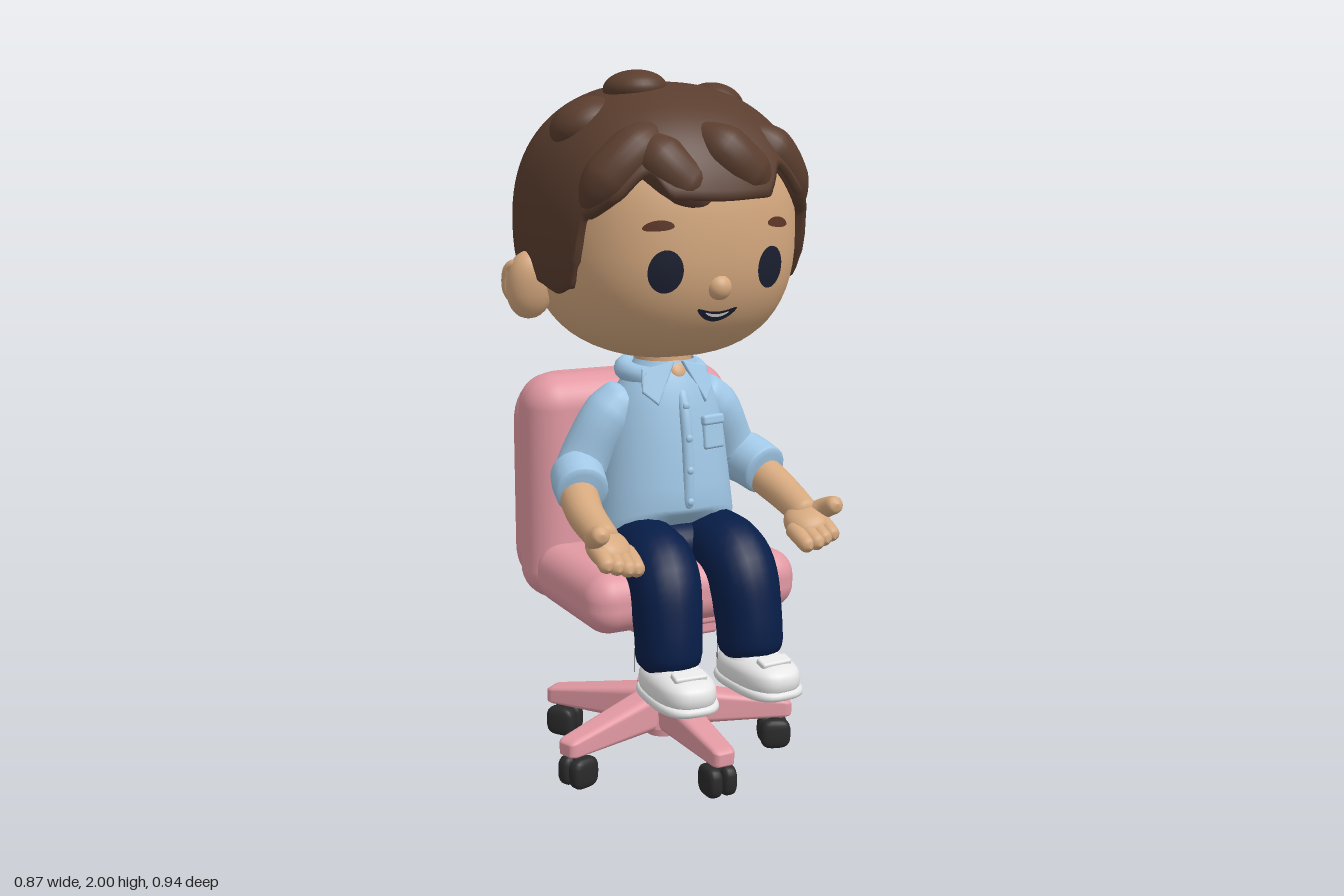
import * as THREE from 'three';
import { mergeVertices } from 'three/addons/utils/BufferGeometryUtils.js';
import { RoundedBoxGeometry } from 'three/addons/geometries/RoundedBoxGeometry.js';

const mat = (name, color, side = THREE.FrontSide) => {
  const m = new THREE.MeshStandardMaterial({ color, side });
  m.name = name;
  return m;
};
const V = (x, y, z) => new THREE.Vector3(x, y, z);

function add(parent, name, geo, material, pos = [0, 0, 0], rot = [0, 0, 0]) {
  const m = new THREE.Mesh(geo, material);
  m.name = name;
  m.position.set(...pos);
  m.rotation.set(...rot);
  parent.add(m);
  return m;
}

// Weld seams and recompute smooth normals
function smooth(geo) {
  geo.deleteAttribute('uv');
  geo.deleteAttribute('normal');
  const g = mergeVertices(geo, 1e-5);
  g.computeVertexNormals();
  return g;
}

function reshape(geo, rule) {
  const p = geo.attributes.position, v = V(0, 0, 0);
  for (let i = 0; i < p.count; i++) {
    v.fromBufferAttribute(p, i);
    rule(v, i);
    p.setXYZ(i, v.x, v.y, v.z);
  }
  return smooth(geo);
}

const power = (t, e) => Math.sign(t) * Math.abs(t) ** e;

// Ellipsoid with boxier sides as n rises above 2
const blob = (rx, ry, rz, n = 2, seg = 32) => reshape(new THREE.SphereGeometry(1, seg, seg / 2), v =>
  v.set(rx * power(v.x, 2 / n), ry * power(v.y, 2 / n), rz * power(v.z, 2 / n)));

// Round limb along a curve with changing radius and rounded ends
function limb(points, radii, steps = 28, round = 0.1) {
  const curve = new THREE.CatmullRomCurve3(points.map(p => V(...p)));
  const sides = 20, geo = new THREE.TubeGeometry(curve, steps, 1, sides);
  return reshape(geo, (v, i) => {
    const t = Math.floor(i / (sides + 1)) / steps;
    const f = t * (radii.length - 1), k = Math.min(Math.floor(f), radii.length - 2);
    const end = Math.min(1, Math.min(t, 1 - t) / round);
    const r = THREE.MathUtils.lerp(radii[k], radii[k + 1], f - k) * Math.sqrt(1 - (1 - end) ** 2);
    const c = curve.getPointAt(t);
    v.sub(c).multiplyScalar(Math.max(r, 0.0005)).add(c);
  });
}

// Head dimensions and the depth of its front surface
const HEAD = { y: 1.565, z: -0.04, rx: 0.355, ry: 0.36, rz: 0.37, n: 2.5 };
function faceZ(x, y) {
  const k = 1 - Math.abs(x / HEAD.rx) ** HEAD.n - Math.abs((y - HEAD.y) / HEAD.ry) ** HEAD.n;
  return HEAD.z + HEAD.rz * Math.max(k, 0) ** (1 / HEAD.n);
}
const facePatch = (cx, cy, w, h, tilt = 0, bend = 0, lift = 0.006) =>
  reshape(new THREE.RingGeometry(0.001, 1, 32, 4), v => {
    const x = cx + w * v.x, y = cy + h * v.y + tilt * v.x + bend * v.x * v.x;
    v.set(x, y, faceZ(x, y) + lift);
  });

// Hairline height by azimuth in degrees; 0 is the front, positive is the left
const FRINGE = [[-53, 1.62], [-42, 1.66], [-29, 1.73], [-20, 1.67], [0, 1.665], [18, 1.67], [28, 1.75], [42, 1.67], [53, 1.62]];
const SIDE = [[58, 1.5], [63, 1.43], [75, 1.41], [88, 1.43], [96, 1.5], [108, 1.47], [118, 1.4], [130, 1.38], [137, 1.35], [143, 1.25], [180, 1.24]];
const HAIRLINE = [...SIDE.map(([a, y]) => [-a, y]).reverse(), ...FRINGE, ...SIDE];
function hairline(a) {
  let i = 0;
  while (i < HAIRLINE.length - 2 && HAIRLINE[i + 1][0] < a) i++;
  const [a0, y0] = HAIRLINE[i], [a1, y1] = HAIRLINE[i + 1];
  return y0 + (y1 - y0) * THREE.MathUtils.smoothstep(a, a0, a1);
}

// Hair cap: rows run from crown to hairline, then turn in to the scalp
function hairCap() {
  const cols = 200, rows = 30, n = 2.4, nv = 2.3, rx = 0.387, ry = 0.388, rz = 0.408, cy = 1.58, cz = -0.062;
  const pos = [], idx = [];
  for (let r = 0; r <= rows + 2; r++) for (let c = 0; c < cols; c++) {
    const deg = -180 + 360 * c / cols, a = deg * Math.PI / 180;
    const end = Math.asin(power((hairline(deg) - cy) / ry, nv / 2));
    const t = Math.min(r / rows, 1), phi = Math.PI / 2 + (end - Math.PI / 2) * t;
    const flat = (Math.abs(Math.sin(a) / rx) ** n + Math.abs(Math.cos(a) / rz) ** n) ** (-1 / n);
    const bulge = 1 + 0.035 * t * THREE.MathUtils.smoothstep(Math.cos(a), 0.3, 0.75);
    const s = Math.abs(Math.cos(phi)) ** (2 / nv) * flat * bulge * [1, 0.965, 0.86][Math.max(0, r - rows)];
    pos.push(s * Math.sin(a), cy + ry * power(Math.sin(phi), 2 / nv) - (r === rows + 1 ? 0.008 : 0), cz + s * Math.cos(a));
    if (r < rows + 2) {
      const A = r * cols + c, B = r * cols + (c + 1) % cols;
      idx.push(A, A + cols, B + cols, A, B + cols, B);
    }
  }
  const g = new THREE.BufferGeometry();
  g.setAttribute('position', new THREE.Float32BufferAttribute(pos, 3));
  g.setIndex(idx);
  g.computeVertexNormals();
  return g;
}

function roundedRect(path, w, h, r) {
  const x = w / 2, y = h / 2;
  path.moveTo(-x + r, -y).lineTo(x - r, -y).quadraticCurveTo(x, -y, x, -y + r).lineTo(x, y - r).quadraticCurveTo(x, y, x - r, y);
  return path.lineTo(-x + r, y).quadraticCurveTo(-x, y, -x, y - r).lineTo(-x, -y + r).quadraticCurveTo(-x, -y, -x + r, -y);
}

export function createModel() {
  const root = new THREE.Group();
  const group = name => { const g = new THREE.Group(); g.name = name; root.add(g); return g; };
  const skin = mat('skin', 0xd6a97f), hair = mat('brown hair', 0x5a3d2e), shirt = mat('light blue cloth', 0xa1c8e7, THREE.DoubleSide);
  const jeans = mat('navy denim', 0x071d47), pink = mat('pink upholstery', 0xe299a3), white = mat('white shoe', 0xe6e6e6);
  const black = mat('black wheel', 0x2a2a2b), dark = mat('eye navy', 0x1c2031), brow = mat('eyebrow', 0x5e3626);

  // Chair cushions; the backrest has a soft rim round a sunken rear panel
  const chair = group('chair');
  add(chair, 'seat', new RoundedBoxGeometry(0.66, 0.175, 0.46, 6, 0.075), pink, [0, 0.552, -0.008]);
  add(chair, 'backrest', new RoundedBoxGeometry(0.66, 0.68, 0.205, 6, 0.095), pink, [0, 0.79, -0.28]);
  const rim = roundedRect(new THREE.Shape(), 0.53, 0.55, 0.09);
  rim.holes.push(roundedRect(new THREE.Path(), 0.5, 0.52, 0.1));
  add(chair, 'backrestRim', smooth(new THREE.ExtrudeGeometry(rim, { depth: 0.02, bevelSize: 0.06, bevelThickness: 0.06, bevelSegments: 6, curveSegments: 10 })), pink, [0, 0.79, -0.35]);

  // Pedestal
  add(chair, 'seatPlate', new RoundedBoxGeometry(0.34, 0.03, 0.34, 3, 0.012), pink, [0, 0.455, -0.02]);
  add(chair, 'tiltMechanism', new RoundedBoxGeometry(0.2, 0.045, 0.32, 3, 0.012), pink, [0, 0.43, -0.02]);
  add(chair, 'column', new THREE.CylinderGeometry(0.042, 0.042, 0.25, 28), pink, [0, 0.31, -0.02]);
  add(chair, 'hub', new THREE.CylinderGeometry(0.075, 0.088, 0.13, 28), pink, [0, 0.168, -0.02]);
  add(chair, 'hubFoot', new THREE.CylinderGeometry(0.06, 0.05, 0.05, 28), pink, [0, 0.092, -0.02]);
  for (let i = 0; i < 5; i++) {
    const spoke = new THREE.Group();
    spoke.name = 'baseSpoke';
    spoke.position.z = -0.02;
    spoke.rotation.y = i * Math.PI * 2 / 5;
    chair.add(spoke);
    add(spoke, 'spokeArm', reshape(new RoundedBoxGeometry(0.1, 0.12, 0.37, 4, 0.025), v => {
      const t = v.z / 0.37 + 0.5;
      v.x *= 1 - 0.32 * t;
      v.y = 0.095 + (v.y + 0.06) * (1 - 0.58 * t);
    }), pink, [0, 0, 0.205]);
    add(spoke, 'casterStem', new THREE.CylinderGeometry(0.016, 0.016, 0.06, 12), black, [0, 0.08, 0.34]);
    for (const s of [-1, 1])
      add(spoke, 'casterWheel', blob(0.024, 0.045, 0.046, 3.2, 24), black, [s * 0.023, 0.045, 0.34]);
  }

  // Torso, hem lifted at the front
  const body = group('body');
  const profile = [[0.001, 0.65], [0.18, 0.645], [0.208, 0.66], [0.21, 0.74], [0.197, 0.85], [0.18, 0.98], [0.16, 1.07], [0.135, 1.13], [0.1, 1.17], [0.085, 1.2]];
  const depth = y => y > 1.1 ? 0.8 + (y - 1.1) * 2 : 0.8 - Math.max(0, 0.85 - y) * 0.35;
  add(body, 'shirt', reshape(new THREE.LatheGeometry(profile.map(p => new THREE.Vector2(...p)), 48), v => {
    v.z *= depth(v.y);
    if (v.y < 0.8 && v.z > 0.03) v.y += (0.8 - v.y) * Math.min(0.8, (v.z - 0.03) * 7);
    v.z -= 0.012;
  }), shirt);
  add(body, 'hips', blob(0.19, 0.085, 0.14, 2.5), jeans, [0, 0.66, 0.0]);
  add(body, 'neck', new THREE.CylinderGeometry(0.082, 0.085, 0.14, 28), skin, [0, 1.18, -0.02]);
  add(body, 'collarBand', new THREE.TorusGeometry(0.105, 0.03, 12, 36, Math.PI * 1.5), shirt, [0, 1.162, -0.032], [Math.PI / 2 + 0.1, 0, Math.PI * 0.75]);
  const flap = new THREE.Shape([[0.0, 0.055], [0.085, 0.05], [0.095, -0.01], [0.062, -0.05]].map(p => new THREE.Vector2(...p)));
  for (const s of [-1, 1]) {
    const g = new THREE.ExtrudeGeometry(flap, { depth: 0.012, bevelSize: 0.005, bevelThickness: 0.005, bevelSegments: 2 });
    add(body, 'collarFlap', g, shirt, [s * 0.013, 1.14, 0.09], [-0.45, s * 0.4, 0]).scale.x = s;
  }
  add(body, 'throat', blob(0.026, 0.03, 0.014), skin, [0, 1.175, 0.07], [-0.5, 0, 0]);
  add(body, 'placket', limb([[0, 1.13, 0.088], [0, 1.05, 0.118], [0, 0.9, 0.137], [0, 0.78, 0.139]], [0.017, 0.017, 0.017]), shirt);
  [[1.08, 0.126], [0.99, 0.146], [0.9, 0.154], [0.81, 0.156]].forEach(([y, z]) => add(body, 'button', blob(0.011, 0.011, 0.006, 2, 12), shirt, [0, y, z]));
  add(body, 'pocket', new RoundedBoxGeometry(0.085, 0.095, 0.018, 3, 0.008), shirt, [0.095, 0.995, 0.107], [-0.14, 0.42, 0]);
  add(body, 'pocketFlap', new RoundedBoxGeometry(0.09, 0.03, 0.024, 3, 0.009), shirt, [0.095, 1.03, 0.104], [-0.14, 0.42, 0]);

  for (const s of [-1, 1]) {
    // Arms and open hands
    add(body, 'sleeve', limb([[s * 0.1, 1.11, -0.02], [s * 0.175, 1.03, -0.03], [s * 0.25, 0.89, -0.04], [s * 0.285, 0.855, 0.03]], [0.06, 0.077, 0.075, 0.074, 0.066]), shirt);
    add(body, 'cuff', limb([[s * 0.265, 0.888, -0.035], [s * 0.282, 0.868, 0.02], [s * 0.295, 0.85, 0.075]], [0.076, 0.077, 0.074]), shirt);
    add(body, 'forearm', limb([[s * 0.285, 0.86, 0], [s * 0.312, 0.805, 0.13], [s * 0.314, 0.755, 0.28]], [0.057, 0.054, 0.048, 0.042]), skin);
    add(body, 'palm', blob(0.062, 0.043, 0.066, 2.3), skin, [s * 0.31, 0.742, 0.272], [0.4, 0, s * 0.25]);
    for (let i = 0; i < 4; i++) {
      const x = 0.263 + i * 0.028, y = 0.006 * i;
      add(body, 'finger', limb([[s * x, 0.735 + y, 0.265], [s * x, 0.712 + y, 0.325], [s * (x + 0.003), 0.692 + y, 0.375 - 0.007 * Math.abs(i - 1)]], [0.026, 0.025, 0.022], 16, 0.18), skin);
    }
    add(body, 'thumb', limb([[s * 0.335, 0.757, 0.255], [s * 0.358, 0.785, 0.295], [s * 0.362, 0.808, 0.355]], [0.032, 0.029, 0.024], 16, 0.18), skin);

    // Legs
    add(body, 'trouserLeg', limb([[s * 0.1, 0.67, -0.06], [s * 0.112, 0.67, 0.08], [s * 0.12, 0.63, 0.215], [s * 0.127, 0.5, 0.262], [s * 0.13, 0.36, 0.275]], [0.075, 0.096, 0.104, 0.1, 0.094, 0.092]), jeans);
    add(body, 'trouserHeelPatch', new THREE.CylinderGeometry(0.095, 0.095, 0.07, 20, 1, true, Math.PI * 0.6, Math.PI * 0.8), black, [s * 0.13, 0.405, 0.272]);

    // Shoes
    const shoe = new THREE.Group();
    shoe.name = 'shoe';
    shoe.position.set(s * 0.128, 0, 0.318);
    shoe.rotation.y = s * 0.06;
    body.add(shoe);
    add(shoe, 'shoeUpper', blob(0.086, 0.052, 0.146, 2.7), white, [0, 0.347, 0]);
    add(shoe, 'shoeSole', blob(0.09, 0.022, 0.15, 3), white, [0, 0.314, 0]);
    add(shoe, 'shoeAnkle', blob(0.077, 0.05, 0.095, 2.6), white, [0, 0.358, -0.025]);
    add(shoe, 'shoeStrap', new RoundedBoxGeometry(0.095, 0.02, 0.04, 3, 0.007), white, [0, 0.395, 0.08], [0.25, 0, 0]);
  }

  // Head and features
  const head = group('head');
  add(head, 'face', blob(HEAD.rx, HEAD.ry, HEAD.rz, HEAD.n, 64), skin, [0, HEAD.y, HEAD.z]);
  add(head, 'nose', blob(0.034, 0.034, 0.03), skin, [0, 1.43, 0.312]);
  for (const s of [-1, 1]) {
    add(head, 'eye', facePatch(s * 0.157, 1.477, 0.045, 0.057), dark);
    add(head, 'eyebrow', facePatch(s * 0.178, 1.597, 0.039, 0.014, -s * 0.003, -0.004, 0.009), brow);
    add(head, 'ear', blob(0.066, 0.097, 0.056, 2.2), skin, [s * 0.366, 1.415, -0.115], [0.2, s * 0.15, 0]);
    add(head, 'earCurl', limb([[s * 0.39, 1.35, -0.12], [s * 0.413, 1.4, -0.15], [s * 0.413, 1.46, -0.135], [s * 0.4, 1.475, -0.09]], [0.014, 0.02, 0.021, 0.014], 20, 0.2), skin);
  }
  add(head, 'mouth', facePatch(0, 1.35, 0.06, 0.014, 0, 0.022, 0.008), dark);
  add(head, 'teeth', facePatch(0, 1.353, 0.036, 0.0045, 0, 0.01, 0.011), white);

  // Hair: cap, fringe locks, and loose tufts on the crown
  add(head, 'hair', hairCap(), hair);
  const locks = [
    [[[-0.1, 1.85, 0.2], [-0.22, 1.765, 0.215], [-0.285, 1.69, 0.195], [-0.32, 1.61, 0.165]], [0.04, 0.07, 0.07, 0.04]],
    [[[-0.19, 1.83, 0.19], [-0.14, 1.75, 0.255], [-0.08, 1.69, 0.275], [-0.01, 1.63, 0.295]], [0.04, 0.075, 0.075, 0.04]],
    [[[-0.04, 1.85, 0.22], [0.04, 1.77, 0.275], [0.11, 1.71, 0.275], [0.17, 1.65, 0.275]], [0.04, 0.075, 0.075, 0.04]],
    [[[0.12, 1.85, 0.19], [0.215, 1.77, 0.215], [0.275, 1.69, 0.195], [0.32, 1.61, 0.165]], [0.04, 0.07, 0.065, 0.04]],
  ];
  locks.forEach(([path, radii]) => add(head, 'fringeLock', limb(path, radii, 32, 0.3), hair));
  add(head, 'tuft', blob(0.1, 0.068, 0.095), hair, [-0.245, 1.855, 0.0], [0, 0, 0.4]);
  add(head, 'tuft', blob(0.088, 0.05, 0.09), hair, [-0.1, 1.948, 0.012], [0, 0, 0.05]);
  add(head, 'tuft', blob(0.08, 0.055, 0.086), hair, [0.153, 1.91, 0.0], [0, 0, -0.2]);
  return root;
}
